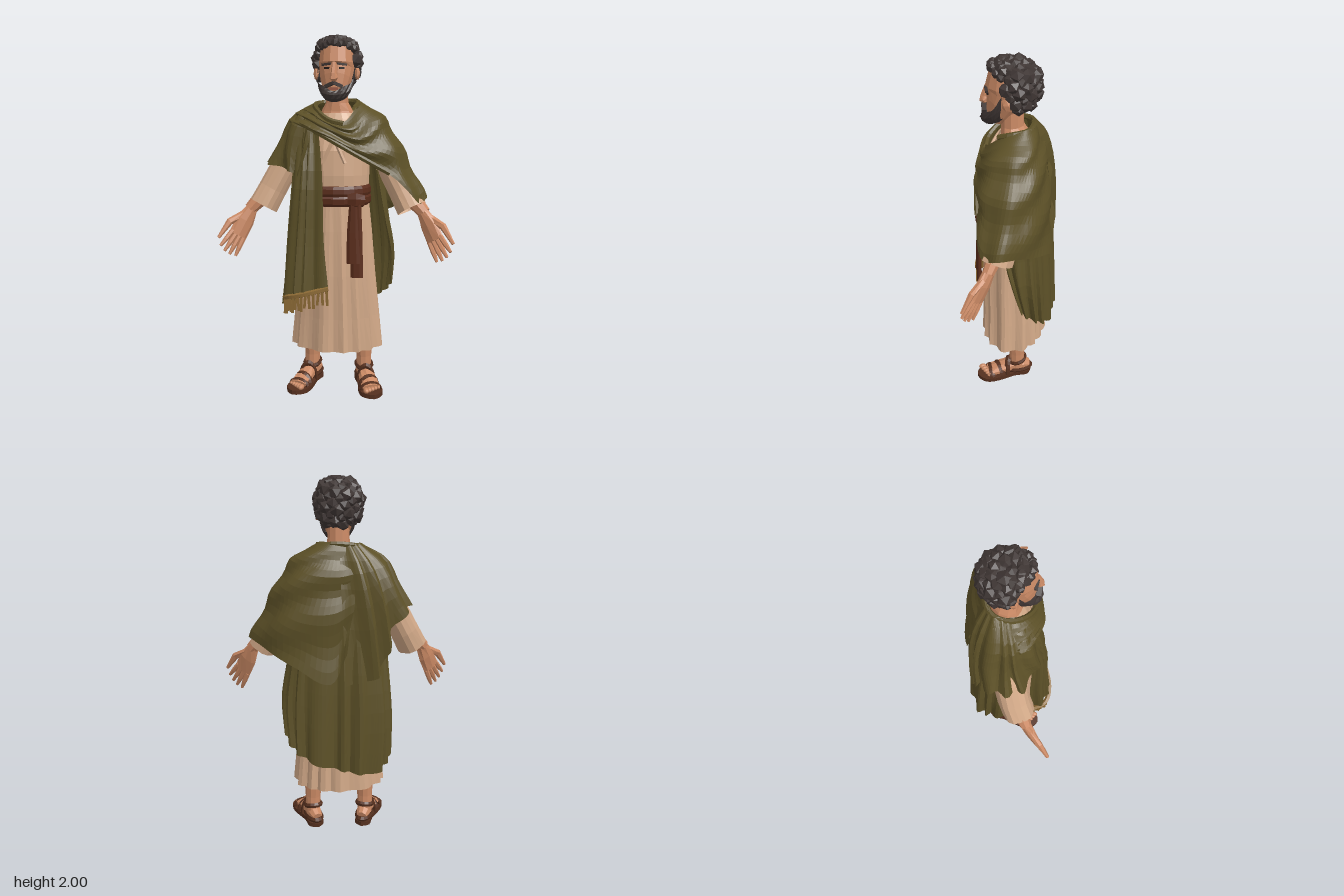
import * as THREE from 'three';
import { mergeGeometries } from 'three/addons/utils/BufferGeometryUtils.js';

const V = (a) => new THREE.Vector3(a[0], a[1], a[2]);
const mat = (name, color, side = THREE.FrontSide) => {
  const m = new THREE.MeshStandardMaterial({ color, side });
  m.name = name;
  return m;
};
const flat = (g) => {
  const f = g.index ? g.toNonIndexed() : g;
  f.computeVertexNormals();
  return f;
};
const fromGrid = (pos, idx) => {
  const g = new THREE.BufferGeometry();
  g.setAttribute('position', new THREE.Float32BufferAttribute(pos, 3));
  g.setIndex(idx);
  return flat(g);
};

// Elliptical rings along a path of [x, y, z, width radius, depth radius]
function tube(path, sides = 8, { caps = true, ref = [0, 0, 1], fold = () => 1 } = {}) {
  const pos = [], idx = [], n = path.length;
  path.forEach((p, i) => {
    const t = V(path[Math.min(i + 1, n - 1)]).sub(V(path[Math.max(i - 1, 0)])).normalize();
    const side = t.clone().cross(V(ref)).normalize(), up = t.clone().cross(side);
    for (let j = 0; j < sides; j++) {
      const a = (j / sides) * Math.PI * 2, k = fold(a, i / (n - 1));
      const q = V(p).addScaledVector(side, Math.cos(a) * p[3] * k).addScaledVector(up, Math.sin(a) * p[4] * k);
      pos.push(q.x, q.y, q.z);
    }
  });
  for (let i = 0; i < n - 1; i++) for (let j = 0; j < sides; j++) {
    const a = i * sides + j, b = i * sides + (j + 1) % sides;
    idx.push(a, b, a + sides, b, b + sides, a + sides);
  }
  if (caps) {
    pos.push(...path[0].slice(0, 3), ...path[n - 1].slice(0, 3));
    const c = n * sides, e = (n - 1) * sides;
    for (let j = 0; j < sides; j++) {
      const k = (j + 1) % sides;
      idx.push(c, k, j, c + 1, e + j, e + k);
    }
  }
  return fromGrid(pos, idx);
}

// Cloth sheet through a row of hanging spokes, pushed outward by a fold rule
function sheet(spokes, nu, nv, fold) {
  const curves = spokes.map((s) => new THREE.CatmullRomCurve3(s.map(V)));
  const pos = [], idx = [];
  for (let j = 0; j <= nv; j++) {
    const row = new THREE.CatmullRomCurve3(curves.map((c) => c.getPoint(j / nv)));
    for (let i = 0; i <= nu; i++) {
      const p = row.getPoint(i / nu);
      const out = new THREE.Vector3(p.x, 0, p.z + 0.02).normalize();
      p.addScaledVector(out, fold(i / nu, j / nv));
      pos.push(p.x, p.y, p.z);
      if (i < nu && j < nv) {
        const a = j * (nu + 1) + i, b = a + nu + 1;
        idx.push(a, b, a + 1, b, b + 1, a + 1);
      }
    }
  }
  return fromGrid(pos, idx);
}
const pleat = (f, amp) => (u, v) => amp * (0.25 + v) * Math.sin(f * u + 1.4 * Math.sin(f * 0.37 * u) + v);

export function createModel() {
  const root = new THREE.Group();
  root.name = 'robedMan';
  const two = THREE.DoubleSide;
  const skin = mat('skin', 0xcb8a65), hair = mat('hair', 0x3f3634, two), linen = mat('linen', 0xd2a988, two);
  const olive = mat('olive cloth', 0x5c5027, two), sash = mat('sash', 0x5a2d1b), leather = mat('leather', 0x55301f);
  const gold = mat('fringe', 0x8c6a35), dark = mat('eye', 0x221a17), lip = mat('lip', 0x9a5a48);
  const add = (name, geo, m, parent = root) => {
    const o = new THREE.Mesh(geo, m);
    o.name = name;
    parent.add(o);
    return o;
  };
  const box = (name, m, size, at, rz = 0) => {
    const o = add(name, new THREE.BoxGeometry(...size), m);
    o.position.set(...at);
    o.rotation.z = rz;
    return o;
  };
  const roll = (name, m, pts, r) => add(name, flat(new THREE.TubeGeometry(new THREE.CatmullRomCurve3(pts.map(V)), 24, r, 6)), m);

  // Tunic with pleated skirt
  add('tunicTop', tube([[0, 1.585, -0.01, 0.1, 0.085], [0, 1.55, -0.01, 0.13, 0.1], [0, 1.49, -0.01, 0.17, 0.115],
    [0, 1.38, -0.005, 0.185, 0.15], [0, 1.25, 0, 0.18, 0.155], [0, 1.13, 0, 0.175, 0.15]], 20,
  { caps: false, fold: (a) => 1 + 0.012 * Math.sin(a * 9) }), linen);
  add('tunicSkirt', tube([[0, 1.15, 0, 0.175, 0.15], [0, 0.95, -0.005, 0.195, 0.165], [0, 0.7, -0.005, 0.215, 0.172],
    [0, 0.45, -0.01, 0.238, 0.178], [0, 0.26, -0.01, 0.255, 0.184]], 56,
    { caps: false, fold: (a, v) => 1 + (0.015 + 0.04 * v) * Math.sin(a * 14 + 2 * Math.sin(a * 3)) }), linen);
  // Crossed neckline of the tunic
  for (const s of [-1, 1])
    roll('tunicLapel', linen, [[s * 0.1, 1.59, 0.02], [s * 0.075, 1.55, 0.08], [0, 1.45, 0.13], [-s * 0.06, 1.32, 0.138]], 0.012);

  // Sash with a knot and two hanging tails
  add('sashBelt', tube([[1.085, 0.183, 0.16], [1.1, 0.191, 0.171], [1.13, 0.192, 0.173], [1.14, 0.186, 0.165], [1.155, 0.191, 0.172],
    [1.18, 0.189, 0.17], [1.195, 0.18, 0.158]].map(([y, w, d]) => [0, y, 0.002, w, d]), 20), sash);
  add('sashKnot', tube([[0.08, 1.125, 0.165, 0.035, 0.018], [0.12, 1.125, 0.17, 0.045, 0.02], [0.16, 1.12, 0.14, 0.035, 0.02]], 7), sash);
  add('sashTail', tube([[0.11, 1.12, 0.17, 0.022, 0.012], [0.108, 0.95, 0.178, 0.032, 0.012], [0.112, 0.78, 0.185, 0.038, 0.012]], 6), sash);
  add('sashTail', tube([[0.13, 1.12, 0.163, 0.02, 0.012], [0.13, 0.92, 0.17, 0.03, 0.012], [0.13, 0.7, 0.176, 0.035, 0.012]], 6), sash);

  // Shawl wrapped over chest, left shoulder and back
  add('shawlWrap', sheet([
    [[-0.13, 1.63, -0.02], [-0.17, 1.61, 0], [-0.21, 1.59, 0.02], [-0.25, 1.55, 0.04]],
    [[-0.1, 1.61, 0.07], [-0.12, 1.58, 0.1], [-0.14, 1.55, 0.12], [-0.17, 1.51, 0.135]],
    [[-0.03, 1.55, 0.125], [-0.03, 1.53, 0.15], [-0.03, 1.5, 0.165], [-0.04, 1.46, 0.17]],
    [[0.05, 1.54, 0.125], [0.1, 1.49, 0.155], [0.12, 1.43, 0.17], [0.14, 1.36, 0.17]],
    [[0.1, 1.6, 0.06], [0.2, 1.54, 0.1], [0.26, 1.4, 0.14], [0.3, 1.26, 0.14]],
    [[0.115, 1.64, 0], [0.245, 1.56, 0.03], [0.345, 1.37, 0.07], [0.46, 1.1, 0.085]],
    [[0.115, 1.65, -0.04], [0.25, 1.565, -0.05], [0.37, 1.37, -0.04], [0.49, 1.13, 0]],
    [[0.1, 1.66, -0.08], [0.22, 1.55, -0.12], [0.32, 1.35, -0.13], [0.4, 1.08, -0.12]],
    [[0.05, 1.66, -0.11], [0.13, 1.53, -0.165], [0.2, 1.3, -0.195], [0.23, 1, -0.215]],
    [[0, 1.66, -0.11], [0, 1.52, -0.165], [0.03, 1.3, -0.2], [0.05, 0.92, -0.23]],
    [[-0.08, 1.65, -0.09], [-0.08, 1.53, -0.155], [-0.07, 1.35, -0.195], [-0.03, 1.08, -0.22]]],
  60, 18, (u, v) => 0.011 * Math.sin(v * 20 + u * 14 + Math.sin(u * 17)) * Math.min(1, v * 3) + 0.006 * v * Math.sin(u * 45)), olive);
  // Short cape over the right shoulder, trailing down the back
  add('shawlRightShoulder', sheet([
    [[-0.08, 1.6, 0.08], [-0.12, 1.5, 0.13], [-0.14, 1.38, 0.16], [-0.18, 1.25, 0.165]],
    [[-0.1, 1.62, 0.04], [-0.22, 1.54, 0.08], [-0.26, 1.4, 0.1], [-0.25, 1.28, 0.13]],
    [[-0.11, 1.64, -0.01], [-0.25, 1.56, 0], [-0.31, 1.43, 0.01], [-0.375, 1.3, 0.04]],
    [[-0.11, 1.65, -0.05], [-0.25, 1.56, -0.06], [-0.31, 1.43, -0.08], [-0.38, 1.3, -0.1]],
    [[-0.1, 1.65, -0.08], [-0.2, 1.54, -0.13], [-0.26, 1.4, -0.16], [-0.3, 1.22, -0.16]],
    [[-0.05, 1.66, -0.1], [-0.11, 1.53, -0.17], [-0.16, 1.3, -0.205], [-0.2, 0.95, -0.21]],
    [[0, 1.66, -0.1], [0, 1.53, -0.165], [-0.01, 1.3, -0.2], [-0.03, 0.9, -0.22]]], 44, 8, pleat(44, 0.016)), olive);
  // Long back drape
  add('shawlBack', sheet([
    [[0.22, 1.3, 0.02], [0.27, 1, 0.01], [0.3, 0.8, -0.04], [0.29, 0.61, -0.09]],
    [[0.24, 1.35, -0.07], [0.28, 1, -0.09], [0.31, 0.8, -0.11], [0.29, 0.57, -0.14]],
    [[0.14, 1.48, -0.14], [0.19, 1, -0.19], [0.2, 0.75, -0.21], [0.2, 0.48, -0.22]],
    [[0, 1.5, -0.155], [0, 1, -0.205], [0, 0.7, -0.22], [0, 0.41, -0.232]],
    [[-0.14, 1.48, -0.14], [-0.18, 1, -0.195], [-0.2, 0.7, -0.215], [-0.19, 0.38, -0.225]],
    [[-0.24, 1.35, -0.07], [-0.26, 1, -0.1], [-0.28, 0.7, -0.12], [-0.27, 0.43, -0.13]],
    [[-0.24, 1.28, 0.05], [-0.26, 1, 0.08], [-0.28, 0.7, 0.08], [-0.3, 0.5, 0.06]]], 64, 8, pleat(64, 0.014)), olive);
  // Front panel hanging from the right shoulder
  add('shawlFrontPanel', sheet([
    [[-0.22, 1.5, 0.04], [-0.23, 1.25, 0.1], [-0.26, 0.9, 0.1], [-0.28, 0.54, 0.12]],
    [[-0.2, 1.54, 0.08], [-0.2, 1.25, 0.165], [-0.23, 0.9, 0.18], [-0.25, 0.57, 0.2]],
    [[-0.14, 1.56, 0.1], [-0.14, 1.25, 0.185], [-0.15, 0.9, 0.205], [-0.16, 0.61, 0.23]],
    [[-0.09, 1.56, 0.12], [-0.055, 1.25, 0.18], [-0.045, 0.9, 0.195], [-0.02, 0.65, 0.21]]], 30, 10, pleat(27, 0.012)), olive);
  // Rolled edge along neck and chest
  roll('shawlCollarRoll', olive, [[0.1, 1.61, 0.06], [0.115, 1.635, -0.01], [0.08, 1.645, -0.09], [0, 1.65, -0.11],
    [-0.08, 1.64, -0.09], [-0.12, 1.63, -0.02], [-0.1, 1.6, 0.07], [-0.03, 1.55, 0.13], [0.05, 1.53, 0.135]], 0.015);
  roll('shawlChestFold', olive, [[-0.25, 1.54, 0.03], [-0.16, 1.52, 0.125], [-0.04, 1.46, 0.165], [0.14, 1.36, 0.168], [0.3, 1.27, 0.14]], 0.014);

  // Gold band and tassels on the panel hem
  const hem = new THREE.CatmullRomCurve3([[-0.28, 0.56, 0.13], [-0.25, 0.585, 0.21], [-0.16, 0.61, 0.24], [-0.02, 0.645, 0.222]].map(V));
  add('fringeBand', flat(new THREE.TubeGeometry(hem, 18, 0.015, 5)), gold);
  for (let i = 0; i < 18; i++) {
    const p = hem.getPoint(0.03 + (i / 17) * 0.95);
    box('tassel', gold, [0.013, 0.07 + 0.015 * (i % 3), 0.011], [p.x, p.y - 0.043, p.z], 0.1 * Math.sin(i * 2));
  }

  // Neck and head
  add('neck', tube([[0, 1.53, -0.01, 0.11, 0.09], [0, 1.6, -0.01, 0.085, 0.072], [0, 1.64, 0, 0.062, 0.06], [0, 1.76, 0, 0.055, 0.055]], 10), skin);
  add('head', tube([[1.66, 0.045, 0.12, 0.04], [1.7, 0.065, 0.138, 0], [1.76, 0.085, 0.138, -0.05], [1.815, 0.095, 0.128, -0.09],
    [1.85, 0.097, 0.138, -0.1], [1.93, 0.088, 0.118, -0.09], [1.96, 0.05, 0.07, -0.04]]
    .map(([y, rx, f, b]) => [0, y, (f + b) / 2, rx, (f - b) / 2]), 14), skin);
  add('nose', tube([[0, 1.85, 0.13, 0.011, 0.01], [0, 1.79, 0.145, 0.016, 0.02], [0, 1.77, 0.146, 0.023, 0.026], [0, 1.757, 0.135, 0.015, 0.014]], 6), skin);
  box('lips', lip, [0.045, 0.012, 0.012], [0, 1.713, 0.147]);
  for (const s of [-1, 1]) {
    box('eye', dark, [0.026, 0.009, 0.009], [s * 0.04, 1.82, 0.121]).rotation.y = s * 0.3;
    box('eyebrow', hair, [0.05, 0.011, 0.014], [s * 0.042, 1.84, 0.126], -s * 0.12).rotation.y = s * 0.3;
    box('moustache', hair, [0.05, 0.017, 0.025], [s * 0.023, 1.734, 0.143], -s * 0.4).rotation.y = s * 0.25;
    const ear = add('ear', new THREE.IcosahedronGeometry(0.03, 0), skin);
    ear.scale.set(0.55, 1.2, 0.85);
    ear.position.set(s * 0.112, 1.795, 0.015);
  }
  // Beard shell from ear to ear
  const half = [[[0.1, 1.83, 0.04], [0.099, 1.76, 0.045], [0.078, 1.7, 0.05], [0.05, 1.7, 0.03]],
    [[0.092, 1.75, 0.09], [0.086, 1.71, 0.1], [0.06, 1.665, 0.09], [0.04, 1.68, 0.04]],
    [[0.05, 1.725, 0.135], [0.057, 1.69, 0.148], [0.034, 1.65, 0.125], [0.02, 1.67, 0.05]]];
  add('beard', sheet([...half.map((s) => s.map(([x, y, z]) => [-x, y, z])),
    [[0, 1.7, 0.15], [0, 1.68, 0.166], [0, 1.643, 0.135], [0, 1.67, 0.05]], ...half.reverse()], 20, 6,
  (u, v) => 0.003 * Math.sin(u * 60 + v * 20)), hair);
  // Curly hair: cap covered in faceted locks, with a row along the hairline
  const locks = [flat(new THREE.SphereGeometry(0.11, 12, 8).scale(1, 1, 0.95).translate(0, 1.865, -0.035))];
  const lock = (r, i, x, y, z) => locks.push(new THREE.IcosahedronGeometry(r, 0).rotateX(i).rotateY(i * 2).translate(x, y, z));
  for (let i = 0; i < 90; i++) {
    const c = 1 - (2 * (i + 0.5)) / 90, r = Math.pow(1 - c * c, 0.4), a = i * 2.39996;
    const x = 0.108 * r * Math.cos(a), y = 1.86 + (c > 0 ? 0.106 : 0.125) * c, z = -0.012 + 0.112 * r * Math.sin(a);
    if ((z > 0.035 && y < 1.93) || (z > -0.01 && y < 1.82) || y < 1.745) continue;
    lock(0.037 + 0.006 * Math.sin(i * 5), i, x, y, z);
  }
  for (let i = -4; i <= 4; i++) {
    lock(0.026, i, i * 0.023, 1.953 - 0.0016 * i * i + 0.006 * Math.sin(i * 4), 0.107 - 0.004 * i * i);
    lock(0.032, i * 3, i * 0.02, 1.967 - 0.0012 * i * i, 0.065 - 0.002 * i * i);
  }
  locks.forEach((g) => g.deleteAttribute('uv'));
  add('hair', mergeGeometries(locks), hair);

  for (const s of [-1, 1]) {
    const m = (path) => path.map(([x, ...rest]) => [s * x, ...rest]);
    // Sleeve and forearm
    add('sleeve', tube(m([[0.15, 1.5, -0.02, 0.06, 0.07], [0.21, 1.43, -0.02, 0.075, 0.085], [0.3, 1.29, -0.02, 0.078, 0.085],
      [0.37, 1.16, 0, 0.08, 0.085], [0.42, 1.065, 0.025, 0.083, 0.085]]), 16,
    { caps: false, fold: (a, v) => 1 + 0.05 * v * Math.sin(a * 5 + s) }), linen);
    add('forearm', tube(m([[0.32, 1.24, -0.01, 0.05, 0.045], [0.41, 1.13, 0.02, 0.05, 0.046], [0.49, 1.045, 0.055, 0.035, 0.032]])), skin);
    // Open hand, palm turned forward and inward, thumb leading
    add('palm', tube(m([[0.475, 1.06, 0.048, 0.032, 0.03], [0.515, 0.985, 0.077, 0.055, 0.027], [0.55, 0.905, 0.108, 0.054, 0.019]]), 8,
      { ref: [s * -0.5, 0, 0.85] }), skin);
    for (const k of [-1.5, -0.5, 0.5, 1.5]) {
      const len = 0.13 - 0.012 * Math.abs(k);
      const at = (d, w) => [0.547 + 0.45 * d + 0.66 * k * w, 0.912 - 0.8 * d + 0.62 * k * w, 0.106 + 0.38 * d + 0.39 * k * w];
      add('finger', tube(m([[...at(0, 0.026), 0.015, 0.015], [...at(len * 0.55, 0.031), 0.014, 0.014], [...at(len, 0.036), 0.008, 0.008]]), 6), skin);
    }
    add('thumb', tube(m([[0.52, 1.02, 0.075, 0.023, 0.02], [0.59, 0.985, 0.122, 0.02, 0.017], [0.645, 0.9, 0.165, 0.009, 0.009]]), 6), skin);

    // Leg
    add('leg', tube(m([[0.15, 0.5, -0.03, 0.062, 0.067], [0.15, 0.32, -0.045, 0.055, 0.06], [0.153, 0.17, -0.048, 0.044, 0.046],
      [0.155, 0.06, -0.05, 0.042, 0.048]]), 10), skin);
    // Foot with sandal, toes turned outward
    const foot = new THREE.Group();
    foot.name = 'foot';
    foot.position.set(s * 0.155, 0, -0.045);
    foot.rotation.y = s * 0.33;
    root.add(foot);
    add('footBody', tube([[0, 0.055, -0.075, 0.03, 0.03], [0, 0.065, -0.04, 0.04, 0.042], [0, 0.07, 0.03, 0.042, 0.047],
      [0, 0.053, 0.11, 0.052, 0.032], [0, 0.042, 0.18, 0.052, 0.018]], 9, { ref: [0, 1, 0] }), skin, foot);
    for (let i = 0; i < 5; i++) {
      const toe = add('toe', new THREE.IcosahedronGeometry(0.016 - 0.0015 * i, 1), skin, foot);
      toe.scale.z = 1.5;
      toe.position.set(s * (-0.038 + 0.02 * i), 0.038, 0.207 - 0.008 * i);
    }
    const outline = new THREE.Shape();
    outline.setFromPoints(new THREE.SplineCurve([[0, 0.092], [0.043, 0.06], [0.043, -0.02], [0.064, -0.12], [0.06, -0.2], [0, -0.245],
      [-0.06, -0.2], [-0.064, -0.12], [-0.043, -0.02], [-0.043, 0.06], [0, 0.092]].map((p) => new THREE.Vector2(...p))).getPoints(30));
    add('sole', flat(new THREE.ExtrudeGeometry(outline, { depth: 0.025, bevelEnabled: false }).rotateX(-Math.PI / 2)), leather, foot);
    // Straps: arches over the foot, a rail along its sides and a loop round the ankle
    for (const [z, r, h, tilt] of [[0.16, 0.058, 0.044, 0], [0.11, 0.058, 0.062, 0.25], [0.05, 0.049, 0.098, -0.35]]) {
      const strap = add('strap', flat(new THREE.TorusGeometry(r, 0.009, 5, 12, Math.PI).scale(1, h / r, 2)), leather, foot);
      strap.position.set(0, 0.02, z);
      strap.rotation.y = tilt * s;
    }
    const loop = add('ankleStrap', flat(new THREE.TorusGeometry(0.048, 0.009, 5, 14).scale(1, 1.1, 1.6).rotateX(Math.PI / 2 + 0.25)), leather, foot);
    loop.position.set(0, 0.112, -0.004);
    const rail = add('sideStrap', flat(new THREE.TorusGeometry(0.045, 0.008, 5, 16).scale(1, 1.75, 2).rotateX(Math.PI / 2)), leather, foot);
    rail.position.set(0, 0.045, -0.01);
  }
  return root;
}
